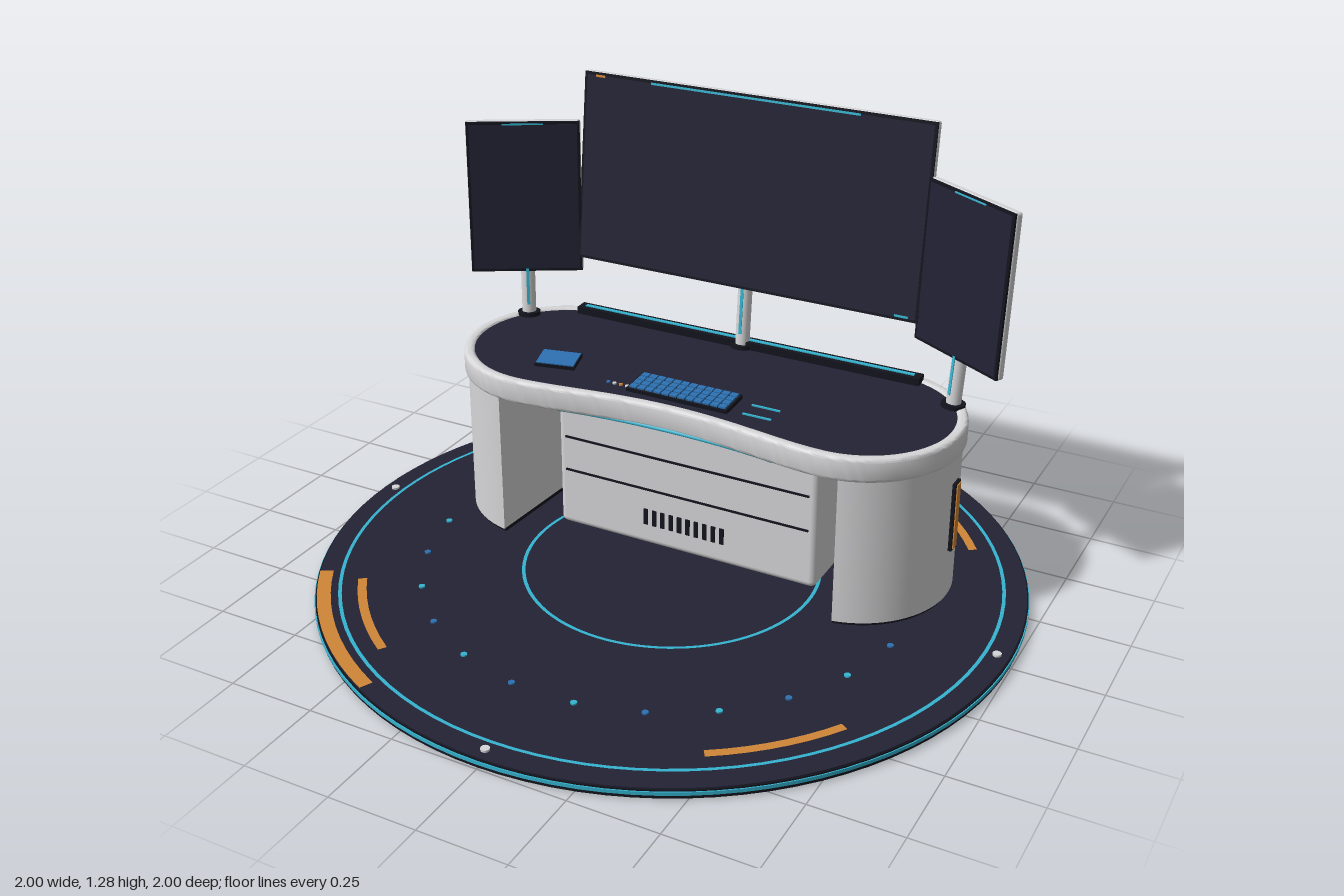
import * as THREE from 'three';
import { toCreasedNormals } from 'three/addons/utils/BufferGeometryUtils.js';
import { RoundedBoxGeometry } from 'three/addons/geometries/RoundedBoxGeometry.js';

const paint = (name, color) => Object.assign(new THREE.MeshStandardMaterial({ color }), { name });

export function createModel() {
  const shell = paint('shell grey', 0xd6d6d8), navy = paint('navy', 0x222235);
  const black = paint('black', 0x14141e), cyan = paint('cyan', 0x35b4d0);
  const blue = paint('blue', 0x2c70b0), orange = paint('orange', 0xd08636);
  const model = new THREE.Group();

  const add = (parent, name, geo, mat, x = 0, y = 0, z = 0) => {
    const mesh = new THREE.Mesh(geo, mat);
    mesh.name = name;
    mesh.position.set(x, y, z);
    parent.add(mesh);
    return mesh;
  };
  const box = (parent, name, w, h, d, mat, x, y, z) =>
    add(parent, name, new THREE.BoxGeometry(w, h, d), mat, x, y, z);
  const group = (name, parent = model) => {
    const g = new THREE.Group();
    g.name = name;
    parent.add(g);
    return g;
  };
  // Extrudes a floor-plan shape (x, z) downward from y = 0
  const slab = (shape, depth, bevel = 0) => toCreasedNormals(
    new THREE.ExtrudeGeometry(shape, {
      depth, curveSegments: 28, bevelEnabled: bevel > 0, bevelSize: bevel,
      bevelThickness: bevel, bevelOffset: -bevel, bevelSegments: 3,
    }).rotateX(Math.PI / 2), 0.6);

  // Floor platform
  const floor = group('platform');
  const top = 0.03;
  add(floor, 'disc', new THREE.CylinderGeometry(0.993, 0.993, top, 96), navy, 0, top / 2, 0);
  add(floor, 'edgeTrim', new THREE.CylinderGeometry(0.997, 0.997, 0.024, 96), black, 0, 0.015, 0);
  add(floor, 'edgeLight', new THREE.CylinderGeometry(1, 1, 0.01, 96), cyan, 0, 0.018, 0);
  const arc = (name, r0, r1, from, to, mat) => {
    const rad = THREE.MathUtils.degToRad;
    const geo = new THREE.RingGeometry(r0, r1, Math.ceil((to - from) / 3.75), 1, rad(from), rad(to - from));
    add(floor, name, geo.rotateX(-Math.PI / 2), mat, 0, top + 0.003, 0);
  };
  arc('outerLightRing', 0.925, 0.935, 0, 360, cyan);
  arc('innerLightRing', 0.415, 0.425, 0, 360, cyan);
  for (let i = 0; i < 4; i++) {
    arc('warningArc', 0.857, 0.882, 33 + i * 90, 57 + i * 90, orange);
    const a = i * Math.PI / 2;
    add(floor, 'bolt', new THREE.CylinderGeometry(0.012, 0.012, 0.006, 16), shell,
      0.96 * Math.cos(a), top + 0.003, 0.96 * Math.sin(a));
  }
  arc('entryArc', 0.955, 0.993, 210, 245, orange);
  for (let i = 0; i < 24; i++) {
    const a = (i + 0.5) * Math.PI / 12;
    add(floor, 'floorLight', new THREE.CylinderGeometry(0.009, 0.009, 0.005, 12), i % 2 ? cyan : blue,
      0.705 * Math.cos(a), top + 0.002, 0.705 * Math.sin(a));
  }

  // Kidney-shaped desktop, inset by d
  const cx = 0.47, cz = -0.205;
  const outline = (d, Type = THREE.Shape) => {
    const s = new Type(), r = 0.287 - d, f = 0.035 - d;
    s.moveTo(-cx, cz - r);
    s.lineTo(cx, cz - r);
    s.absarc(cx, cz, r, -Math.PI / 2, Math.PI / 2, false);
    s.bezierCurveTo(0.34, cz + r, 0.2, f, 0, f);
    s.bezierCurveTo(-0.2, f, -0.34, cz + r, -cx, cz + r);
    s.absarc(-cx, cz, r, Math.PI / 2, Math.PI * 1.5, false);
    return s;
  };
  const desk = group('desk');
  const rim = outline(0);
  rim.holes.push(outline(0.032, THREE.Path));
  add(desk, 'deskRim', slab(rim, 0.05, 0.01), shell, 0, 0.53, 0);
  add(desk, 'deskSurface', slab(outline(0.026), 0.063), navy, 0, 0.535, 0);
  const glow = new THREE.CubicBezierCurve3(
    new THREE.Vector3(-0.33, 0.473, 0.058), new THREE.Vector3(-0.15, 0.473, 0.024),
    new THREE.Vector3(0.15, 0.473, 0.024), new THREE.Vector3(0.33, 0.473, 0.058));
  add(desk, 'underGlow', new THREE.TubeGeometry(glow, 32, 0.006, 8), cyan);
  box(desk, 'rearBar', 1.1, 0.024, 0.04, black, 0, 0.545, -0.445);
  box(desk, 'rearBarLight', 1.06, 0.004, 0.012, cyan, 0, 0.558, -0.445);

  // Pedestals, mirrored
  const pedShape = (d) => {
    const s = new THREE.Shape();
    s.absarc(cx, cz, 0.277 - d, -Math.PI / 2 + 0.04, Math.PI / 2 - 0.18, false);
    s.closePath();
    return s;
  };
  for (const side of [1, -1]) {
    const ped = group(side > 0 ? 'leftPedestal' : 'rightPedestal');
    ped.scale.x = side;
    add(ped, 'pedestalBody', slab(pedShape(0), 0.435), shell, 0, 0.475, 0);
    add(ped, 'plinth', slab(pedShape(0.006), 0.012), black, 0, 0.041, 0);
    box(ped, 'sideLightFrame', 0.016, 0.205, 0.04, black, 0.748, 0.29, cz);
    box(ped, 'sideLight', 0.004, 0.195, 0.026, orange, 0.757, 0.29, cz);
  }

  // Centre cabinet with seams and vent slots
  const cabinet = group('cabinet');
  add(cabinet, 'cabinetBody', new RoundedBoxGeometry(0.82, 0.445, 0.3, 4, 0.02), shell, 0, 0.25, -0.22);
  for (const y of [0.21, 0.317]) box(cabinet, 'seam', 0.77, 0.006, 0.005, black, 0, y, -0.069);
  for (let i = 0; i < 10; i++)
    box(cabinet, 'ventSlot', 0.013, 0.05, 0.005, black, (i - 4.5) * 0.027, 0.12, -0.069);

  // Monitors, built around their own centre and facing +z
  const monitor = (name, w, h, plateW, plateY) => {
    const g = group(name);
    g.rotation.order = 'YXZ';
    add(g, 'casing', new RoundedBoxGeometry(w, h, 0.024, 3, 0.008), shell);
    box(g, 'bezel', w - 0.004, h - 0.004, 0.008, black, 0, 0, 0.012);
    box(g, 'screen', w - 0.02, h - 0.02, 0.004, navy, 0, 0, 0.0155);
    add(g, 'backPlate', new RoundedBoxGeometry(plateW, 0.195, 0.016, 2, 0.005), shell, 0, plateY, -0.012);
    return g;
  };
  const main = monitor('mainMonitor', 1.08, 0.56, 0.52, -0.01);
  main.position.set(0, 1.0, -0.465);
  main.rotation.x = -0.117;
  box(main, 'topLight', 0.64, 0.006, 0.003, cyan, 0, 0.269, 0.018);
  box(main, 'statusLight', 0.03, 0.006, 0.003, orange, -0.485, 0.269, 0.018);
  box(main, 'powerLight', 0.04, 0.006, 0.003, cyan, 0.49, -0.266, 0.018);
  for (const side of [1, -1]) {
    const m = monitor(side > 0 ? 'leftMonitor' : 'rightMonitor', 0.335, 0.462, 0.15, 0);
    m.position.set(side * 0.685, 0.908, -0.365);
    m.rotation.set(-0.04, -side * 0.52, 0);
    box(m, 'topLight', 0.12, 0.004, 0.003, cyan, 0, 0.222, 0.018);
  }

  // Monitor posts
  const post = (x, z, h, yaw) => {
    const g = group('monitorPost');
    g.position.set(x, 0.535, z);
    g.rotation.order = 'YXZ';
    g.rotation.set(-0.08, yaw, 0);
    add(g, 'post', new THREE.CylinderGeometry(0.021, 0.021, h, 20), shell, 0, h / 2, 0);
    add(g, 'postFoot', new THREE.CylinderGeometry(0.034, 0.034, 0.012, 20), black, 0, 0.006, 0);
    box(g, 'postLight', 0.009, h * 0.6, 0.005, cyan, 0, h * 0.5, 0.02);
  };
  post(0, -0.437, 0.23, 0);
  post(0.677, -0.352, 0.19, -0.52);
  post(-0.677, -0.352, 0.19, 0.52);

  // Keyboard
  const keyboard = group('keyboard');
  keyboard.position.set(0, 0.542, -0.07);
  keyboard.rotation.x = 0.06;
  box(keyboard, 'keyboardBase', 0.31, 0.012, 0.1, black, 0, 0, 0);
  for (let r = 0; r < 4; r++) for (let c = 0; c < 12; c++)
    box(keyboard, 'key', 0.021, 0.006, 0.018, blue, (c - 5.5) * 0.025, 0.008, (r - 1.5) * 0.023);

  // Tablet, touch lines and indicator dots
  const tablet = group('tablet');
  tablet.position.set(-0.413, 0.546, -0.088);
  tablet.rotation.set(0.1, 0.22, 0, 'YXZ');
  box(tablet, 'tabletBase', 0.118, 0.01, 0.08, black, 0, 0, 0);
  box(tablet, 'tabletScreen', 0.112, 0.004, 0.074, blue, 0, 0.006, 0);
  for (const z of [-0.1, -0.042]) box(desk, 'touchLine', 0.085, 0.004, 0.006, cyan, 0.235, 0.537, z);
  for (let i = 0; i < 4; i++)
    add(desk, 'indicator', new THREE.CylinderGeometry(0.006, 0.006, 0.005, 10),
      [blue, shell, orange, shell][i], -0.225 + i * 0.02, 0.537, -0.045);

  return model;
}
